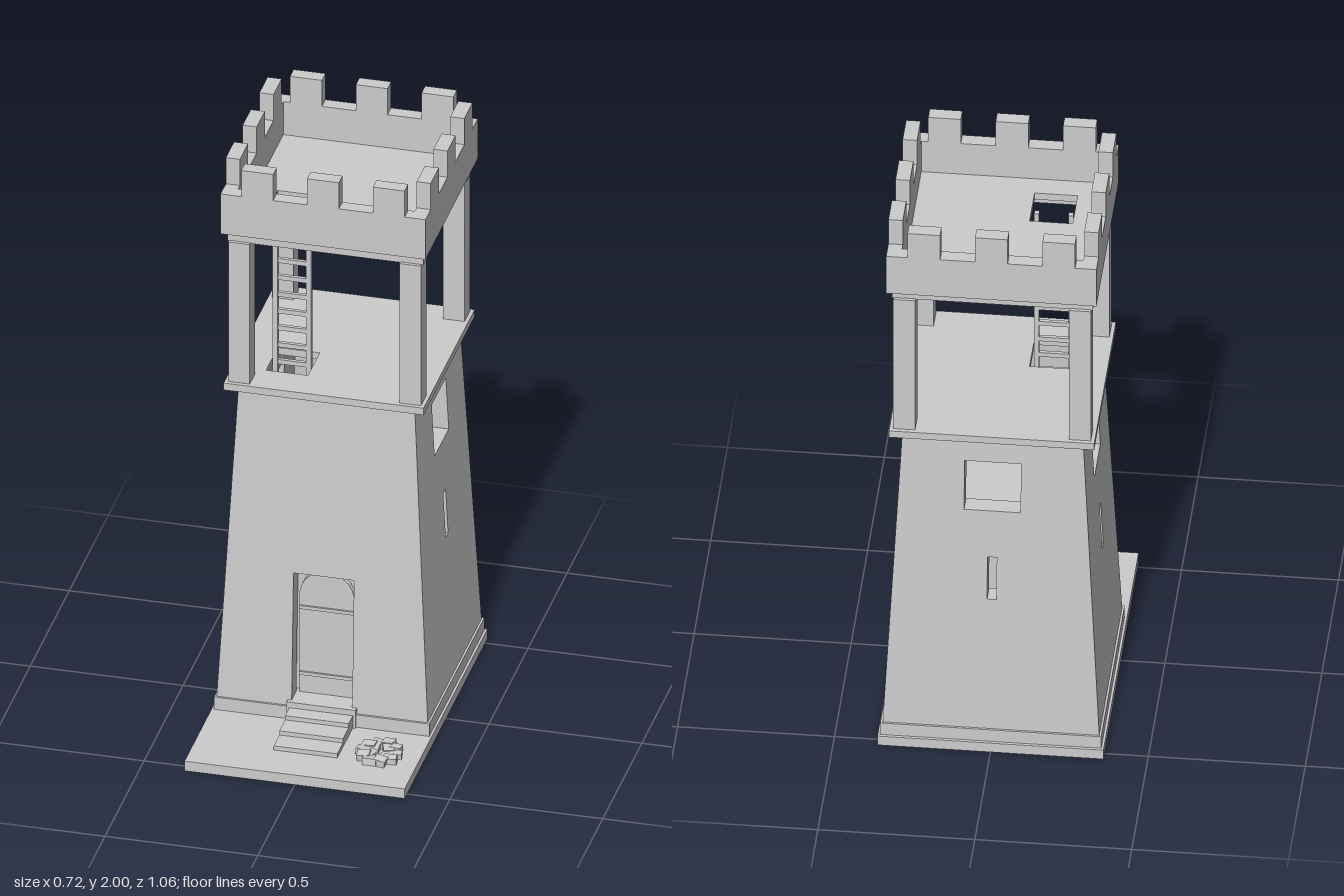
import * as THREE from 'three';

const stone = new THREE.MeshStandardMaterial({ color: 0xcccccc });
stone.name = 'grey stone';

function add(parent, name, geometry) {
  const mesh = new THREE.Mesh(geometry, stone);
  mesh.name = name;
  parent.add(mesh);
  return mesh;
}

// Box given by its minimum and maximum corners
function block(parent, name, x0, x1, y0, y1, z0, z1) {
  const mesh = add(parent, name, new THREE.BoxGeometry(x1 - x0, y1 - y0, z1 - z0));
  mesh.position.set((x0 + x1) / 2, (y0 + y1) / 2, (z0 + z1) / 2);
  return mesh;
}

const rect = (Type, x0, x1, y0, y1) =>
  new Type([[x0, y0], [x1, y0], [x1, y1], [x0, y1]].map(p => new THREE.Vector2(...p)));

// Square horizontal slab with one rectangular opening (x0, x1, z0, z1)
function slab(parent, name, half, y0, y1, hole) {
  const shape = rect(THREE.Shape, -half, half, -half, half);
  shape.holes.push(rect(THREE.Path, ...hole));
  const geo = new THREE.ExtrudeGeometry(shape, { depth: y1 - y0, bevelEnabled: false });
  geo.rotateX(Math.PI / 2);
  add(parent, name, geo).position.y = y1;
}

// Tapered tower body
const BASE = 0.08, TOP = 1.19, THICK = 0.06;
const halfAt = y => THREE.MathUtils.mapLinear(y, BASE, TOP, 0.345, 0.288);

// One leaning wall with mitred ends and rectangular openings
function wall(parent, name, angle, openings) {
  const a = halfAt(BASE), b = halfAt(TOP);
  const shape = new THREE.Shape([[-a, BASE], [a, BASE], [b, TOP], [-b, TOP]].map(p => new THREE.Vector2(...p)));
  for (const o of openings) shape.holes.push(rect(THREE.Path, ...o));
  const geo = new THREE.ExtrudeGeometry(shape, { depth: THICK, bevelEnabled: false });
  const pos = geo.attributes.position;
  for (let i = 0; i < pos.count; i++) {
    const x = pos.getX(i), y = pos.getY(i), inset = THICK - pos.getZ(i);
    if (Math.abs(x) > 0.2) pos.setX(i, Math.sign(x) * (halfAt(y) - inset));
    pos.setZ(i, halfAt(y) - inset);
  }
  geo.computeVertexNormals();
  add(parent, name, geo).rotation.y = angle;
}

function buildDoor(parent) {
  const door = new THREE.Group();
  door.name = 'door';
  block(door, 'doorRecess', -0.105, 0.105, 0.085, 0.56, 0.25, 0.265);
  const arch = new THREE.Shape();
  arch.moveTo(-0.09, 0.1);
  arch.lineTo(0.09, 0.1);
  arch.lineTo(0.09, 0.46);
  arch.quadraticCurveTo(0.08, 0.54, 0, 0.542);
  arch.quadraticCurveTo(-0.08, 0.54, -0.09, 0.46);
  const leaf = add(door, 'doorLeaf', new THREE.ExtrudeGeometry(arch, { depth: 0.02, bevelEnabled: false, curveSegments: 5 }));
  leaf.position.z = 0.264;
  for (const y of [0.17, 0.41]) block(door, 'doorBand', -0.09, 0.09, y - 0.006, y + 0.006, 0.28, 0.29);
  parent.add(door);
}

function buildLadder(parent) {
  const ladder = new THREE.Group();
  ladder.name = 'ladder';
  for (const x of [-0.204, -0.095]) block(ladder, 'ladderRail', x - 0.008, x + 0.008, 0.88, 1.765, 0.13, 0.148);
  for (let i = 0; i < 14; i++) {
    const y = 1.7 - i * 0.0613;
    block(ladder, 'ladderRung', -0.2, -0.1, y - 0.008, y + 0.008, 0.133, 0.145);
  }
  parent.add(ladder);
}

function buildRubble(parent) {
  const pile = new THREE.Group();
  pile.name = 'stonePile';
  pile.position.set(0.23, 0.035, 0.34);
  let seed = 7;
  const rnd = () => (seed = (seed * 16807) % 2147483647) / 2147483647;
  const stoneAt = (x, z, top, angle) => {
    const s = add(pile, 'looseStone', new THREE.BoxGeometry(0.034 + rnd() * 0.012, top, 0.028 + rnd() * 0.01));
    s.position.set(x, top / 2, z);
    s.rotation.set((rnd() - 0.5) * 0.3, angle, (rnd() - 0.5) * 0.3);
  };
  // outer ring, then a few stones in the middle
  for (let i = 0; i < 10; i++) {
    const t = i / 10 * Math.PI * 2;
    stoneAt(Math.cos(t) * 0.053, Math.sin(t) * 0.06, 0.018 + rnd() * 0.008, (rnd() - 0.5) * 0.4);
  }
  for (let i = 0; i < 4; i++) stoneAt((i % 2 - 0.5) * 0.045, (i > 1 ? 1 : -1) * 0.022, 0.015 + rnd() * 0.008, rnd() * 3);
  parent.add(pile);
}

export function createModel() {
  const model = new THREE.Group();
  model.name = 'watchtower';
  block(model, 'groundSlab', -0.36, 0.36, 0, 0.035, -0.53, 0.53);

  // Entrance steps
  [[0.39, 0.05], [0.318, 0.065], [0.245, 0.08]].forEach(([z, y]) =>
    block(model, 'entranceStep', -0.104, 0.104, 0.035, y, 0.15, z));
  block(model, 'threshold', -0.113, 0.113, 0.035, 0.1, 0.09, 0.192);
  buildRubble(model);

  const tower = new THREE.Group();
  tower.name = 'tower';
  tower.position.z = -0.168;
  model.add(tower);

  // Lower body
  block(tower, 'plinth', -0.352, 0.352, 0.035, BASE, -0.352, 0.352);
  const windows = [[-0.09, 0.09, 0.905, 1.09], [-0.015, 0.015, 0.57, 0.73]];
  wall(tower, 'frontWall', 0, [[-0.1, 0.098, 0.1, 0.55]]);
  wall(tower, 'leftWall', Math.PI / 2, windows);
  wall(tower, 'backWall', Math.PI, windows);
  wall(tower, 'rightWall', -Math.PI / 2, windows);
  block(tower, 'roomFloor', -0.26, 0.26, 0.86, 0.885, -0.26, 0.26);
  buildDoor(tower);

  // Lookout floor and roof deck share the ladder hatch
  const hatch = [-0.217, -0.08, 0.063, 0.213];
  slab(tower, 'lookoutFloor', 0.327, 1.188, 1.213, hatch);
  slab(tower, 'roofDeck', 0.3, 1.76, 1.785, hatch);
  buildLadder(tower);

  // Corner posts and the beams above them
  for (const sz of [-1, 1]) {
    for (const sx of [-1, 1]) {
      const post = add(tower, 'cornerPost', new THREE.BoxGeometry(0.07, 0.51, 0.068));
      post.position.set(sx * 0.28, 1.466, sz * 0.279);
    }
    const beam = add(tower, 'roofBeam', new THREE.BoxGeometry(0.64, 0.042, 0.05));
    beam.position.set(0, 1.74, sz * 0.277);
  }

  // Battlements
  slab(tower, 'parapet', 0.335, 1.76, 1.905, [-0.289, 0.289, -0.289, 0.289]);
  for (let side = 0; side < 4; side++) {
    const row = new THREE.Group();
    row.name = 'merlonRow';
    row.rotation.y = side * Math.PI / 2;
    for (const x of [-0.215, 0, 0.215]) block(row, 'merlon', x - 0.052, x + 0.052, 1.9, 2, 0.289, 0.335);
    tower.add(row);
  }
  return model;
}
